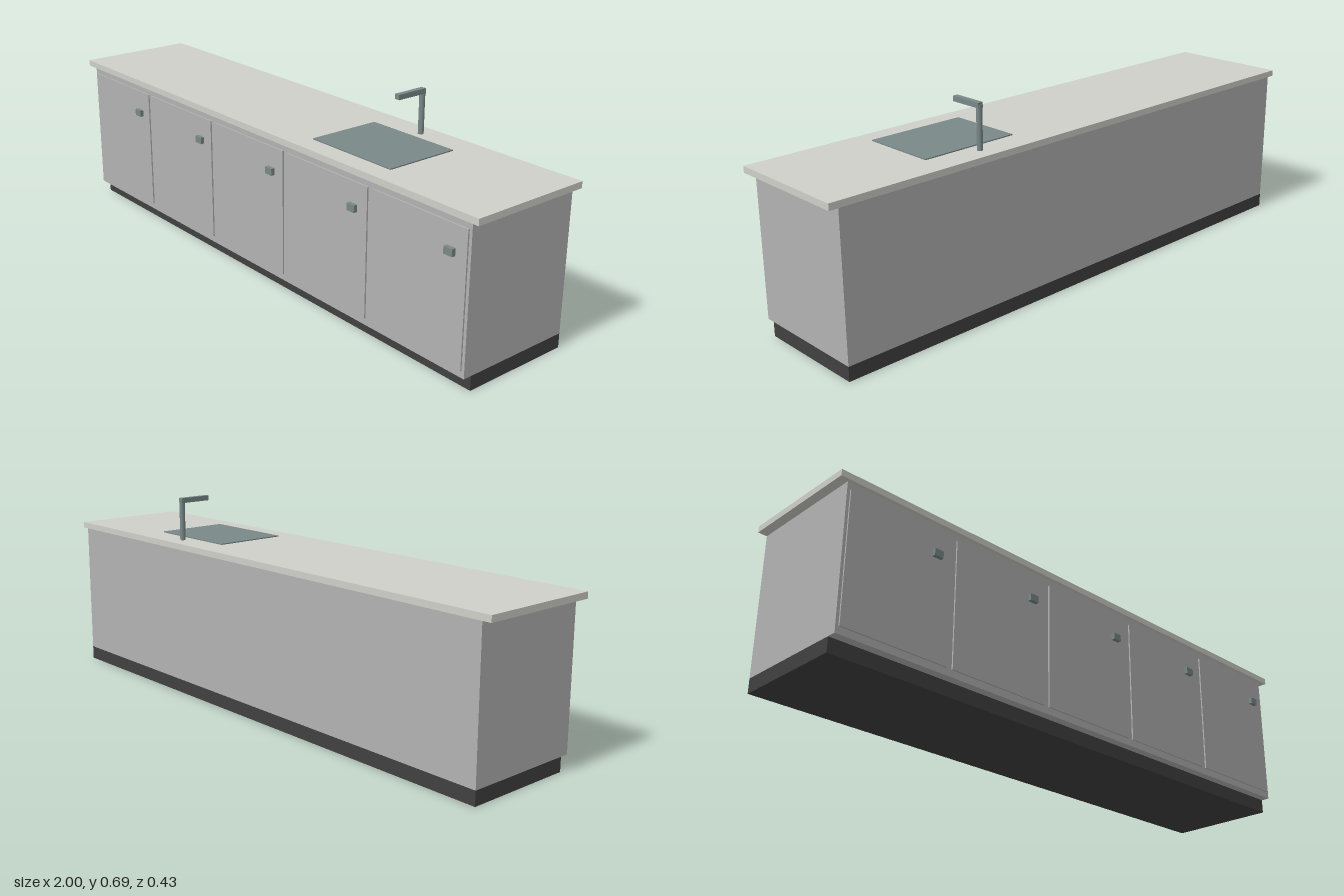
import * as THREE from 'three';

const grey = new THREE.MeshStandardMaterial({ color: 0xb2b2b2 });
const stone = new THREE.MeshStandardMaterial({ color: 0xd0d0ca });
const dark = new THREE.MeshStandardMaterial({ color: 0x404040 });
const steel = new THREE.MeshStandardMaterial({ color: 0x7a8888 });

// Box given by its [min, max] extent on each axis
function box(name, material, [x0, x1], [y0, y1], [z0, z1]) {
  const mesh = new THREE.Mesh(new THREE.BoxGeometry(x1 - x0, y1 - y0, z1 - z0), material);
  mesh.position.set((x0 + x1) / 2, (y0 + y1) / 2, (z0 + z1) / 2);
  mesh.name = name;
  return mesh;
}

export function createModel() {
  const model = new THREE.Group();
  model.name = 'kitchenCounter';
  const back = -0.213;

  // Recessed plinth, cabinet body and overhanging worktop, flush at the back
  model.add(
    box('plinth', dark, [-0.97, 0.97], [0, 0.047], [back, 0.168]),
    box('cabinetBody', grey, [-0.97, 0.97], [0.047, 0.516], [back, 0.197]),
    box('worktop', stone, [-1, 1], [0.516, 0.537], [back, 0.209]),
    box('sink', steel, [0.256, 0.6], [0.53, 0.5405], [-0.117, 0.14]),
  );

  // Five doors, each with a small square pull near its upper corner
  const count = 5, pitch = 1.94 / count, half = 0.184;
  for (let i = 0; i < count; i++) {
    const x = (i - (count - 1) / 2) * pitch;
    const door = new THREE.Group();
    door.name = `door${i + 1}`;
    door.add(
      box('doorPanel', grey, [x - half, x + half], [0.07, 0.492], [0.196, 0.202]),
      box('doorHandle', steel, [x + 0.111, x + 0.143], [0.401, 0.424], [0.202, 0.215]),
    );
    model.add(door);
  }

  // Tap: round upright with a square spout reaching over the sink
  const tap = new THREE.Group();
  tap.name = 'tap';
  const post = new THREE.Mesh(new THREE.CylinderGeometry(0.0095, 0.0095, 0.141, 12), steel);
  post.name = 'tapPost';
  post.position.set(0.425, 0.6075, -0.157);
  tap.add(post, box('tapSpout', steel, [0.416, 0.434], [0.668, 0.685], [-0.163, -0.049]));
  model.add(tap);

  return model;
}
